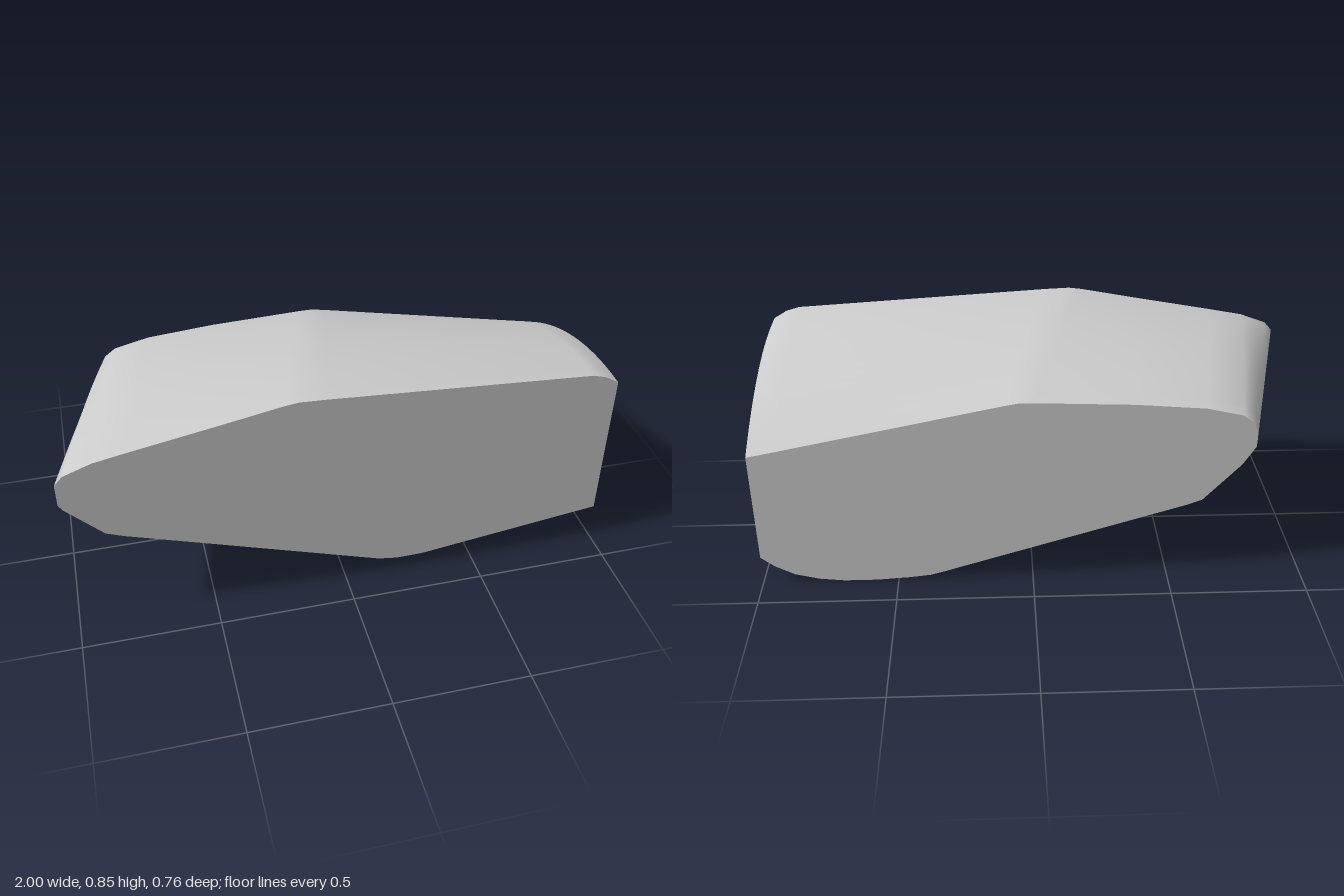
import * as THREE from 'three';
import { toCreasedNormals } from 'three/addons/utils/BufferGeometryUtils.js';

const HALF_DEPTH = 0.378;
const STEPS = 16;

// Matching outline points: front x, front y, back x, back y, upward bulge between them
const outline = [
  // underside: the rounded back corner fans into the sharp front corner
  [1, 0.147, 1, 0.113, 0], [1, 0.147, 0.95, 0.072, 0], [1, 0.147, 0.88, 0.034, 0],
  [1, 0.147, 0.79, 0.011, 0], [1, 0.147, 0.7, 0.001, 0], [0.8, 0.121, 0.58, 0.001, 0],
  [0.55, 0.088, 0.46, 0.009, 0], [0.3, 0.055, 0.38, 0.018, 0], [0.2, 0.054, 0.33, 0.032, 0],
  [0.13, 0.065, 0.28, 0.048, 0], [-0.8, 0.385, -0.56, 0.308, 0], [-0.86, 0.41, -0.61, 0.327, 0],
  // nose
  [-0.985, 0.54, -0.743, 0.474, 0], [-1, 0.565, -0.787, 0.547, 0], [-1, 0.65, -0.787, 0.6, 0.01],
  [-0.97, 0.683, -0.77, 0.642, 0.025], [-0.87, 0.72, -0.73, 0.672, 0.04],
  // arched top
  [-0.75, 0.743, -0.6, 0.702, 0.04], [-0.45, 0.797, -0.35, 0.722, 0.038],
  [-0.22, 0.84, 0, 0.735, 0.036], [-0.17, 0.846, 0.05, 0.735, 0.036],
  [-0.08, 0.842, 0.1, 0.726, 0.036], [0.9, 0.78, 0.9, 0.56, 0.06],
  [0.95, 0.765, 0.95, 0.55, 0.061], [1, 0.735, 1, 0.54, 0.0625],
];

// Point of the outline at t, from 0 at the front to 1 at the back
function pointAt([fx, fy, bx, by, bulge], t) {
  return [
    THREE.MathUtils.lerp(fx, bx, t),
    THREE.MathUtils.lerp(fy, by, t) + 4 * bulge * t * (1 - t),
    HALF_DEPTH * (1 - 2 * t),
  ];
}

function buildBody() {
  const positions = [];
  const index = [];
  const n = outline.length;
  for (let j = 0; j <= STEPS; j++) {
    for (const p of outline) positions.push(...pointAt(p, j / STEPS));
  }
  // skin between neighbouring sections
  for (let j = 0; j < STEPS; j++) {
    for (let i = 0; i < n; i++) {
      const k = (i + 1) % n;
      const a = j * n + i, b = j * n + k, c = a + n, d = b + n;
      index.push(a, b, c, b, d, c);
    }
  }
  // flat front and back faces
  const frontCentre = positions.length / 3;
  positions.push(0, 0.45, HALF_DEPTH, 0.1, 0.4, -HALF_DEPTH);
  for (let i = 0; i < n; i++) {
    const k = (i + 1) % n;
    index.push(frontCentre, k, i, frontCentre + 1, STEPS * n + i, STEPS * n + k);
  }
  const geometry = new THREE.BufferGeometry();
  geometry.setAttribute('position', new THREE.Float32BufferAttribute(positions, 3));
  geometry.setIndex(index);
  return toCreasedNormals(geometry, 0.8);
}

export function createModel() {
  const group = new THREE.Group();
  group.name = 'taperedBlock';
  const body = new THREE.Mesh(buildBody(), new THREE.MeshStandardMaterial({ color: 0xcccccc }));
  body.name = 'body';
  group.add(body);
  return group;
}
